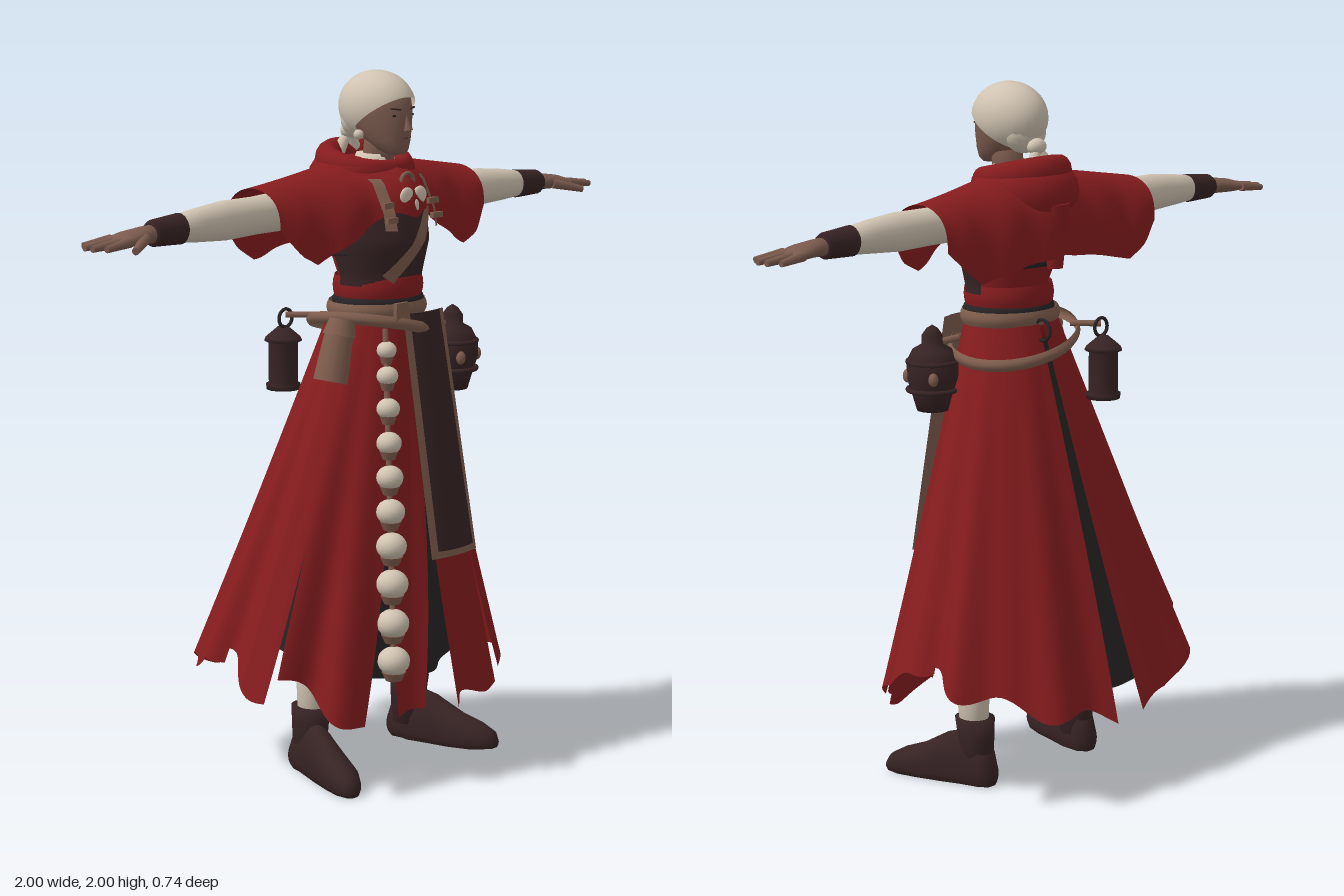
import * as THREE from 'three';
import { mergeVertices } from 'three/addons/utils/BufferGeometryUtils.js';

const { sin, cos, PI, abs, max, sqrt } = Math;
const mix = (a, b, t) => a + (b - a) * t;
const V = (x, y, z) => new THREE.Vector3(x, y, z);

// Interpolates rows of numbers by their first entry
function table(rows, k) {
  let i = 0;
  while (i < rows.length - 2 && k > rows[i + 1][0]) i++;
  const a = rows[i], b = rows[i + 1];
  const t = Math.min(1, max(0, (k - a[0]) / (b[0] - a[0])));
  return a.map((v, j) => mix(v, b[j], t));
}

// Smooth surface from f(u, v) -> [x, y, z]; front side is du x dv
function surf(nu, nv, f) {
  const pos = [], idx = [], w = nu + 1;
  for (let j = 0; j <= nv; j++) for (let i = 0; i <= nu; i++) pos.push(...f(i / nu, j / nv));
  for (let j = 0; j < nv; j++) for (let i = 0; i < nu; i++) {
    const a = j * w + i;
    idx.push(a, a + 1, a + w + 1, a, a + w + 1, a + w);
  }
  const g = new THREE.BufferGeometry();
  g.setAttribute('position', new THREE.Float32BufferAttribute(pos, 3));
  g.setIndex(idx);
  const m = mergeVertices(g, 1e-5);
  m.computeVertexNormals();
  return m;
}

// Closed loft of ellipses; rows are [along, c1, c2, r1, r2] in cyclic axis order
function loft(axis, rows, n = 20) {
  const r = rows[0][0] > rows.at(-1)[0] ? [...rows].reverse() : [...rows];
  const first = r[0], last = r.at(-1);
  r.unshift([first[0], first[1], first[2], 0, 0]);
  r.push([last[0], last[1], last[2], 0, 0]);
  return surf(n, r.length - 1, (u, v) => {
    const [p, c1, c2, r1, r2] = r[Math.round(v * (r.length - 1))];
    const a = (Math.round(u * n) % n) / n * 2 * PI, out = [0, 0, 0];
    out[axis] = p;
    out[(axis + 1) % 3] = c1 + r1 * cos(a);
    out[(axis + 2) % 3] = c2 + r2 * sin(a);
    return out;
  });
}

// Torso cross-sections: height, centre z, centre x, half depth, half width
const TORSO = [[1.28, .1, .045, .12, .145], [1.36, .1, .045, .105, .13], [1.43, .1, .045, .1, .125],
  [1.53, .09, .045, .135, .145], [1.62, .08, .045, .125, .15], [1.7, .06, .045, .1, .14], [1.76, .05, .05, .05, .06]];
const chest = (x, y, off) => {
  const [, cz, cx, rz, rx] = table(TORSO, y);
  return cz + rz * sqrt(max(0, 1 - ((x - cx) / rx) ** 2)) + off;
};

// Flared pleated skirt point, angle in degrees from the front towards +x
function skirtPoint(deg, y, k = 1) {
  const a = deg * PI / 180, s = (1.36 - y) / 1.16;
  const m = k * (1 + s * (.05 * sin(10 * a + .6) + .025 * sin(17 * a)));
  return [.04 * (1 - s) + (.13 + .435 * s) * m * sin(a), y, .1 - .1 * s + (.115 + .245 * s) * m * cos(a)];
}

export function createModel() {
  const model = new THREE.Group();
  const mat = (name, color) => Object.assign(new THREE.MeshStandardMaterial({ color, side: THREE.DoubleSide }), { name });
  const red = mat('red cloth', 0x861c1e), cream = mat('cream linen', 0xd0c3b1), skin = mat('skin', 0x7a5a4d);
  const dark = mat('dark leather', 0x372324), black = mat('black cloth', 0x282324), leather = mat('brown leather', 0x7e5d4d);
  const add = (name, geo, material, p) => {
    const m = new THREE.Mesh(geo, material);
    m.name = name;
    if (p) m.position.set(...p);
    model.add(m);
    return m;
  };
  const ball = (name, m, p, r, s = [1, 1, 1]) => add(name, new THREE.SphereGeometry(r, 18, 12), m, p).scale.set(...s);
  const rod = (name, m, p, q, r0, r1, n = 10) => {
    const d = q.clone().sub(p);
    add(name, new THREE.CylinderGeometry(r1, r0, d.length(), n), m, p.clone().add(q).multiplyScalar(.5).toArray())
      .quaternion.setFromUnitVectors(V(0, 1, 0), d.normalize());
  };
  const band = (name, m, y, h, c, rx, rz, sx = 0, sz = 0) => add(name, surf(40, 4, (u, v) => {
    const x = rx * sin(u * 2 * PI), z = rz * cos(u * 2 * PI), b = 1 + .05 * sin(v * PI);
    return [c[0] + x * b, y + (v - .5) * h + sx * x + sz * z, c[1] + z * b];
  }), m);
  // Strap lying on the chest between two points
  const strap = (name, x0, y0, x1, y1, w, off) => {
    const l = Math.hypot(x1 - x0, y1 - y0), nx = -(y1 - y0) / l * w / 2, ny = (x1 - x0) / l * w / 2;
    add(name, surf(2, 12, (u, v) => {
      const x = mix(x0, x1, v) + nx * (u * 2 - 1), y = mix(y0, y1, v) + ny * (u * 2 - 1);
      return [x, y, chest(x, y, off)];
    }), leather);
  };

  // Torso, bodice and sash
  add('torso', loft(1, TORSO, 32), red);
  add('bodice', surf(28, 12, (u, v) => {
    const y = mix(1.41, 1.64, v), a = mix(-1.75, 1.75, u), [, cz, cx, rz, rx] = table(TORSO, y);
    return [cx + (rx + .01) * sin(a), y, cz + (rz + .014) * cos(a)];
  }), dark);
  band('backBand', black, 1.5, .025, [.045, .092], .143, .127);
  band('sash', red, 1.4, .065, [.045, .1], .13, .115);
  band('waistTrim', black, 1.36, .03, [.045, .1], .134, .115);
  band('belt', leather, 1.34, .042, [.04, .1], .148, .124);
  band('hipBelt', leather, 1.275, .034, [.055, .07], .185, .175, -.25, .1);
  add('beltBuckle', new THREE.BoxGeometry(.05, .05, .012), leather, [.0, 1.34, .23]);
  strap('diagonalStrap', .135, 1.63, -.03, 1.43, .038, .026);
  for (const x of [-.048, .134]) {
    strap('shoulderStrap', x, 1.71, x, 1.57, .028, .052);
    for (const y of [1.6, 1.64]) add('strapBuckle', new THREE.BoxGeometry(.04, .016, .012), leather, [x, y, chest(x, y, .056)]);
  }

  // Skirt panels: angles at waist, angles at hem, hem heights
  const panels = [[3, 39, 9, 38, .2, .21], [37, 97, 41, 97, .24, .41], [92, 175, 92, 173, .4, .23],
    [181, 268, 183, 268, .24, .4], [264, 300, 264, 297, .42, .29], [298, 342, 300, 334, .36, .2], [338, 364, 347, 357, .21, .2]];
  for (const [b0, b1, a0, a1, h0, h1] of panels) {
    add('skirtPanel', surf(36, 24, (u, v) => {
      const t = 1 - v, hem = mix(h0, h1, u) + .02 * sin(u * (a1 - a0) * .2);
      return skirtPoint(mix(mix(b0, a0, t * t), mix(b1, a1, t * t), u), mix(1.36, hem, t));
    }), red);
  }
  add('underskirt', surf(120, 16, (u, v) => skirtPoint(u * 360, mix(.37 - .07 * cos(u * 4 * PI), 1.34, v), .84)), black);

  // Hanging front panel with a leather edge
  const tabard = (name, m, grow, off) => add(name, surf(8, 12, (u, v) => {
    const t = 1 - v, s = u * 2 - 1;
    return [mix(.098, .132, t) + s * (mix(.062, .074, t) + grow), mix(1.33, .655 - grow, t), mix(.236, .33, t) + off - .012 * s * s];
  }), m);
  tabard('tabardEdge', leather, .021, 0);
  tabard('tabard', dark, 0, .006);

  // String of beads growing towards the hem
  [1.24, 1.17, 1.08, .985, .89, .795, .7, .595, .485, .38].forEach((y, i) => {
    const t = i / 9, r = mix(.028, .046, Math.min(1, t * 1.3)), x = mix(-.065, -.14, t), z = mix(.235, .335, t);
    ball('bead', cream, [x, y, z], r, [1, .88, 1]);
    add('beadCap', new THREE.CylinderGeometry(r * .75, r * .5, .024, 14), leather, [x, y - r * .95, z]);
  });
  rod('beadCord', leather, V(-.063, 1.3, .228), V(-.14, .38, .335), .008, .008);

  // Legs and boots
  for (const s of [-1, 1]) {
    const x = .04 + s * .21;
    add('leg', loft(1, [[.17, .045, x, .043, .04], [.3, .05, x, .052, .047], [.6, .07, x - s * .05, .07, .065], [1.1, .09, x - s * .13, .08, .07]]), cream);
    add('bootShaft', loft(1, [[.05, .035, x, .05, .045], [.14, .038, x, .056, .05], [.195, .042, x, .06, .055]]), dark);
    const foot = loft(2, [[-.025, 0, .035, .028, .04], [0, 0, .05, .044, .08], [.06, .01, .05, .046, .11], [.12, .03, .045, .05, .095],
      [.19, .05, .03, .055, .068], [.25, .07, .025, .05, .05], [.285, .085, .02, .036, .034], [.3, .09, .015, .02, .018]]
      .map(([z, d, ...r]) => [z, x + s * d, ...r]), 24);
    const p = foot.attributes.position;
    for (let i = 0; i < p.count; i++) p.setY(i, max(0, p.getY(i)));
    foot.computeVertexNormals();
    add('boot', foot, dark);
  }

  // Arms, bracers and hands
  for (const s of [-1, 1]) {
    const limb = (name, rows, m) => add(name, loft(0, rows.map(([x, ...r]) => [s * x, ...r])), m);
    limb('sleeve', [[.12, 1.64, .05, .06, .06], [.4, 1.632, .056, .052, .048], [.52, 1.63, .06, .054, .048], [.62, 1.628, .063, .046, .042], [.7, 1.625, .063, .037, .035]], cream);
    limb('bracer', [[.68, 1.625, .063, .036, .036], [.685, 1.625, .063, .042, .04], [.78, 1.622, .063, .036, .034], [.79, 1.622, .063, .03, .03]], dark);
    limb('palm', [[.77, 1.621, .063, .025, .026], [.82, 1.62, .063, .023, .034], [.87, 1.616, .062, .02, .046], [.905, 1.612, .06, .014, .046], [.915, 1.611, .06, .008, .04]], skin);
    [[.022, .012, .975], [.048, .043, .998], [.074, .076, 1], [.098, .108, .98]].forEach(([z0, z1, x]) => {
      rod('finger', skin, V(s * .89, 1.613, z0), V(s * x, 1.604, z1), .014, .009);
    });
    rod('thumb', skin, V(s * .83, 1.615, .09), V(s * .91, 1.595, .14), .016, .01);
  }

  // Shoulder cape draped over the upper arms
  const hemF = [[0, 1.6], [.06, 1.62], [.1, 1.6], [.16, 1.56], [.3, 1.49], [.36, 1.52], [.42, 1.59]];
  const hemB = [[0, 1.53], [.16, 1.51], [.3, 1.48], [.36, 1.52], [.42, 1.58]];
  add('cape', surf(64, 32, (u, v) => {
    const x = mix(-.375, .465, u), d = abs(x - .045), k = d / .42, a = v * PI;
    const low = mix(table(hemF, d)[1], table(hemB, d)[1], v), top = mix(1.765, 1.7, k);
    const hang = 1 - sin(a), rz = mix(.155, .1, k) + hang * (.012 + .007 * sin(d * 40));
    const chestFront = cos(a) > 0 ? .028 * max(0, 1 - d / .12) * cos(a) : 0;
    return [x, low + (top - low) * sin(a) ** .65, mix(.05, .025, k) + rz * cos(a) + chestFront];
  }), red);
  for (const s of [-1, 1]) ball('clasp', cream, [.05 + s * .026, 1.66, .228], .03, [.9, .85, .3]);
  ball('claspDrop', cream, [.05, 1.632, .238], .015, [.8, 1.3, .4]);
  add('claspRing', new THREE.TorusGeometry(.026, .006, 8, 20), leather, [.05, 1.695, .205]);

  // Lowered hood, thick behind the neck
  const hood = (name, grow, drop) => add(name, surf(48, 14, (u, v) => {
    const a = u * 2 * PI, b = v * 2 * PI, back = (1 - cos(a)) / 2, r = .026 + grow * back;
    const R = 1 + r * cos(b) / .12;
    return [.05 + .115 * R * sin(a), 1.725 + .02 * back - drop * back + r * 1.15 * sin(b), .05 + mix(.1, .105, back) * R * cos(a)];
  }), red);
  hood('hoodRoll', .016, -.01);
  hood('hoodFold', .042, .055);
  rod('hoodTip', red, V(.05, 1.67, -.075), V(.05, 1.49, -.085), .05, .022, 12);

  // Neck, collar and head
  add('neck', loft(1, [[1.72, .085, .055, .045, .045], [1.82, .1, .055, .045, .045]]), skin);
  add('collar', loft(1, [[1.68, .07, .053, .07, .075], [1.74, .075, .053, .06, .06], [1.77, .08, .053, .054, .052]]), cream);
  add('head', loft(1, [[1.77, .16, .055, .02, .022], [1.782, .145, .055, .047, .04], [1.81, .125, .055, .07, .058], [1.85, .105, .055, .093, .07],
    [1.89, .095, .055, .103, .078], [1.93, .09, .055, .1, .077], [1.97, .085, .055, .07, .055]], 28), skin);
  add('nose', new THREE.ConeGeometry(.013, .05, 8), skin, [.055, 1.863, .2]).rotation.x = -.18;
  for (const s of [-1, 1]) {
    ball('eye', black, [.055 + s * .032, 1.88, .184], .01, [1.2, .4, .4]);
    add('brow', new THREE.BoxGeometry(.03, .004, .006), dark, [.055 + s * .033, 1.898, .187]).rotation.set(0, s * .35, s * .12);
  }
  ball('earring', cream, [-.02, 1.825, .085], .014);
  ball('lips', dark, [.055, 1.817, .19], .014, [1.1, .25, .4]);

  // Head scarf with a knot at the nape
  const scarf = new THREE.SphereGeometry(1, 28, 18, 0, 2 * PI, 0, 1.95);
  scarf.rotateX(-.68);
  scarf.scale(.096, .1, .118);
  add('headScarf', scarf, cream, [.057, 1.9, .083]);
  ball('scarfBack', cream, [.056, 1.86, .025], .06, [1.2, .95, .75]);
  ball('scarfKnot', cream, [.056, 1.825, -.02], .026, [1.2, .9, .9]);
  for (const s of [-1, 1]) rod('scarfTail', cream, V(.056, 1.825, -.02), V(.056 + s * .035, 1.765, -.035), .01, .022);

  // Jug on the left hip
  const turned = (name, m, pts, p) => add(name, new THREE.LatheGeometry(pts.map(([r, y]) => new THREE.Vector2(r, y)), 20), m, p);
  turned('jug', dark, [[0, -.11], [.045, -.105], [.058, -.06], [.074, -.01], [.074, .035], [.056, .07], [.03, .085], [.03, .11], [.016, .13], [0, .14]], [.268, 1.185, .185]);
  for (const y of [1.14, 1.22]) add('jugHoop', new THREE.TorusGeometry(.07, .007, 8, 24), dark, [.268, y, .185]).rotation.x = PI / 2;
  for (const a of [-.5, .9, 2.4]) ball('jugPatch', leather, [.268 + .07 * sin(a), 1.18, .185 + .07 * cos(a)], .018, [.8, 1.1, .8]);
  rod('jugLoop', leather, V(.19, 1.28, .16), V(.265, 1.27, .185), .01, .01);

  // Leather case on the right hip
  rod('case', leather, V(-.17, 1.15, .12), V(-.13, 1.3, .12), .05, .04, 14);
  rod('caseLid', leather, V(-.135, 1.275, .12), V(-.123, 1.32, .12), .048, .036, 14);

  // Lantern hanging behind the hip
  turned('lantern', dark, [[0, -.09], [.048, -.09], [.05, -.075], [.042, -.07], [.042, .045], [.054, .05], [.05, .06], [.015, .09], [0, .095]], [-.13, 1.185, -.105]);
  add('lanternRing', new THREE.TorusGeometry(.026, .005, 8, 20), black, [-.13, 1.3, -.095]);
  rod('lanternStrap', leather, V(-.13, 1.31, -.095), V(-.07, 1.31, -.03), .009, .009);
  add('beltRing', new THREE.TorusGeometry(.03, .005, 8, 20), black, [.06, 1.31, -.045]).rotation.y = PI / 2;

  return model;
}
